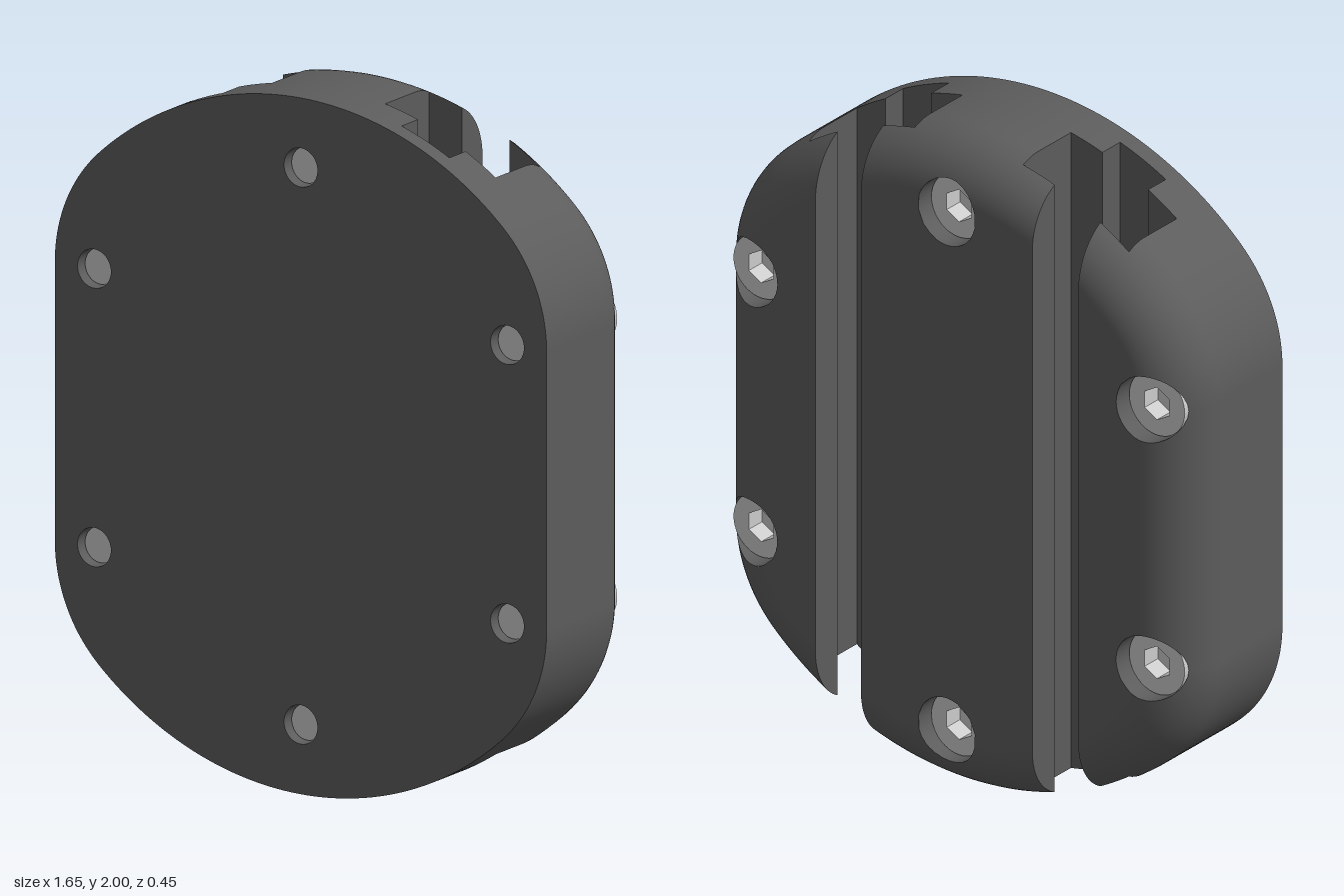
import * as THREE from 'three';

const Z = 0.226;             // half thickness
const R = 0.17;              // rounding of the back edge
const HALF_W = 0.825, CX = 0.37, CY = 0.4, CR = 0.455; // side, corner arc
const BORE = 0.1, HOLE = 0.056;
const ZR = -Z + R;           // where the rounding begins

const bodyMat = new THREE.MeshStandardMaterial({ color: 0x5c5c5c });
const boltMat = new THREE.MeshStandardMaterial({ color: 0xcccccc });

// Closed outline as [x, y, nx, ny]: straight sides, corner arcs, large end arcs
function outline() {
  const q = [], a = Math.atan2(CY, CX);
  for (let i = 0; i < 20; i++) q.push([HALF_W, CY * i / 20, 1, 0]);
  for (let i = 0; i < 18; i++) {
    const c = Math.cos(a * i / 18), s = Math.sin(a * i / 18);
    q.push([CX + CR * c, CY + CR * s, c, s]);
  }
  for (let i = 0; i <= 28; i++) {
    const t = a + (Math.PI / 2 - a) * i / 28;
    q.push([Math.cos(t), Math.sin(t), Math.cos(t), Math.sin(t)]);
  }
  const left = q.map(([x, y, u, v]) => [-x, y, -u, v]).reverse();
  const half = [...q, ...left.slice(1)];
  return [...half, ...half.slice(1).map((p) => p.map((v) => -v))];
}

// Height of the back surface over a point
function backZ(x, y) {
  x = Math.abs(x); y = Math.abs(y);
  let d = HALF_W - x;
  if (x * CY <= y * CX) d = 1 - Math.hypot(x, y);
  else if (y > CY) d = CR - Math.hypot(x - CX, y - CY);
  return d >= R ? -Z : ZR - Math.sqrt(Math.max(0, R * R - (R - d) ** 2));
}

// Part of a polygon where f >= 0; vertices are [x, y, z, nx, ny, nz]
function keep(poly, f) {
  const out = [];
  poly.forEach((p, i) => {
    const q = poly[(i + 1) % poly.length], a = f(p), b = f(q);
    if (a >= 0) out.push(p);
    if ((a >= 0) !== (b >= 0)) out.push(p.map((v, k) => v + (q[k] - v) * a / (a - b)));
  });
  return out;
}

// Cut away a convex region given by functions that are positive outside it
function subtract(polys, sides) {
  const result = [];
  for (const poly of polys) {
    let rest = poly;
    for (const f of sides) {
      const out = keep(rest, f);
      if (out.length > 2) result.push(out);
      rest = keep(rest, (p) => -f(p));
      if (rest.length < 3) break;
    }
  }
  return result;
}

function polyMesh(name, polys) {
  const pos = [], nor = [];
  for (const p of polys)
    for (let i = 1; i < p.length - 1; i++)
      for (const v of [p[0], p[i], p[i + 1]]) {
        pos.push(v[0], v[1], v[2]);
        nor.push(v[3], v[4], v[5]);
      }
  const g = new THREE.BufferGeometry();
  g.setAttribute('position', new THREE.Float32BufferAttribute(pos, 3));
  g.setAttribute('normal', new THREE.Float32BufferAttribute(nor, 3));
  return named(name, g, bodyMat);
}

function named(name, geometry, material) {
  const m = new THREE.Mesh(geometry, material);
  m.name = name;
  return m;
}

// Inward-facing wall of a round hole
function holeWall(cx, cy, r, zBack, zFront) {
  const polys = [], n = 48;
  const at = (i, front) => {
    const c = Math.cos(i / n * 2 * Math.PI), s = Math.sin(i / n * 2 * Math.PI);
    const x = cx + r * c, y = cy + r * s;
    return [x, y, front ? zFront : zBack(x, y), -c, -s, 0];
  };
  for (let i = 0; i < n; i++) polys.push([at(i, 0), at(i, 1), at(i + 1, 1), at(i + 1, 0)]);
  return polys;
}

// Walls of one slot, running the full height and ending at the rounded outline
function slotWalls(path) {
  const polys = [];
  for (let k = 0; k < path.length - 1; k++) {
    const [x0, z0] = path[k], [x1, z1] = path[k + 1];
    const len = Math.hypot(x1 - x0, z1 - z0), nx = (z1 - z0) / len, nz = (x0 - x1) / len;
    const at = (t, s) => {
      const x = x0 + (x1 - x0) * t, z = z0 + (z1 - z0) * t;
      const d = z > ZR ? 0 : R - Math.sqrt(Math.max(0, R * R - (z - ZR) ** 2));
      return [x, s * Math.sqrt((1 - d) ** 2 - x * x), z, nx, 0, nz];
    };
    const n = 20, ease = (i) => (1 - Math.cos(Math.PI * i / n)) / 2;
    for (let i = 0; i < n; i++) {
      const a = ease(i), b = ease(i + 1);
      polys.push([at(a, -1), at(a, 1), at(b, 1), at(b, -1)]);
    }
  }
  return polys;
}

// Socket screw: round head with hexagonal recess, and a shank
function makeBolt() {
  const bolt = new THREE.Group();
  bolt.name = 'bolt';
  const shape = new THREE.Shape().absarc(0, 0, 0.097, 0, Math.PI * 2);
  const hex = [];
  for (let i = 0; i < 6; i++)
    hex.push(new THREE.Vector2(0.05 * Math.sin(i * Math.PI / 3), 0.05 * Math.cos(i * Math.PI / 3)));
  shape.holes.push(new THREE.Path(hex));
  const head = named('boltHead',
    new THREE.ExtrudeGeometry(shape, { depth: 0.1, bevelEnabled: false, curveSegments: 24 }), boltMat);
  head.position.z = -0.17;
  const shank = named('boltShank',
    new THREE.CylinderGeometry(0.052, 0.052, 0.305, 40).rotateX(Math.PI / 2), boltMat);
  shank.position.z = 0.0425;
  bolt.add(head, shank);
  return bolt;
}

export function createModel() {
  const root = new THREE.Group();
  root.name = 'slottedPlate';
  const plate = new THREE.Group();
  plate.name = 'plate';
  plate.position.y = 1;
  root.add(plate);

  const edge = outline();
  const centres = [];
  for (let k = 0; k < 6; k++) {
    const a = Math.PI / 6 + k * Math.PI / 3;
    centres.push([0.8 * Math.cos(a), 0.8 * Math.sin(a)]);
  }

  // Side wall, rounded back edge and flat back as rows of rings
  const rows = [(p) => [p[0], p[1], Z, p[2], p[3], 0]];
  for (let j = 0; j <= 14; j++) {
    const c = Math.cos(j / 14 * Math.PI / 2), s = Math.sin(j / 14 * Math.PI / 2), d = R * (1 - c);
    rows.push((p) => [p[0] - p[2] * d, p[1] - p[3] * d, ZR - R * s, p[2] * c, p[3] * c, -s]);
  }
  for (let j = 1; j <= 20; j++) {
    const t = 1 - j / 20;
    rows.push((p) => [(p[0] - p[2] * R) * t, (p[1] - p[3] * R) * t, -Z, 0, 0, -1]);
  }
  let shell = [];
  for (let j = 0; j < rows.length - 1; j++)
    for (let i = 0; i < edge.length - 1; i++) {
      const a = rows[j](edge[i]), b = rows[j](edge[i + 1]);
      const c = rows[j + 1](edge[i + 1]), d = rows[j + 1](edge[i]);
      shell.push([a, d, c], [a, c, b]);
    }

  // Cut the slots and bolt bores out of the shell
  for (const s of [1, -1])
    for (const [x0, x1, z0, z1] of [[0.3, 0.46, -1, 0.17], [0.19, 0.56, -0.125, 0.09]])
      shell = subtract(shell, [
        (p) => x0 - s * p[0], (p) => s * p[0] - x1, (p) => z0 - p[2], (p) => p[2] - z1]);
  for (const [x, y] of centres)
    shell = subtract(shell, [(p) => Math.hypot(p[0] - x, p[1] - y) - BORE]);
  plate.add(polyMesh('plateShell', shell));

  // Flat front with its round holes
  const face = new THREE.Shape(edge.slice(0, -1).map((p) => new THREE.Vector2(p[0], p[1])));
  for (const [x, y] of centres)
    face.holes.push(new THREE.Path().absarc(x, y, HOLE, 0, Math.PI * 2, true));
  plate.add(named('plateFront', new THREE.ShapeGeometry(face, 24).translate(0, 0, Z), bodyMat));

  // Cross-shaped slots
  const path = [[0.3, -Z], [0.3, -0.125], [0.19, -0.125], [0.19, 0.09], [0.3, 0.09], [0.3, 0.17],
    [0.46, 0.17], [0.46, 0.09], [0.56, 0.09], [0.56, -0.125], [0.46, -0.125], [0.46, -Z]];
  plate.add(polyMesh('leftSlot', slotWalls(path)));
  plate.add(polyMesh('rightSlot', slotWalls(path.map(([x, z]) => [-x, z]).reverse())));

  // Bores, front holes and bolts
  for (const [x, y] of centres) {
    plate.add(polyMesh('boltBore', holeWall(x, y, BORE, backZ, -0.07)));
    plate.add(polyMesh('frontHole', holeWall(x, y, HOLE, () => 0.1, Z)));
    const bolt = makeBolt();
    bolt.position.set(x, y, 0);
    plate.add(bolt);
  }
  return root;
}
